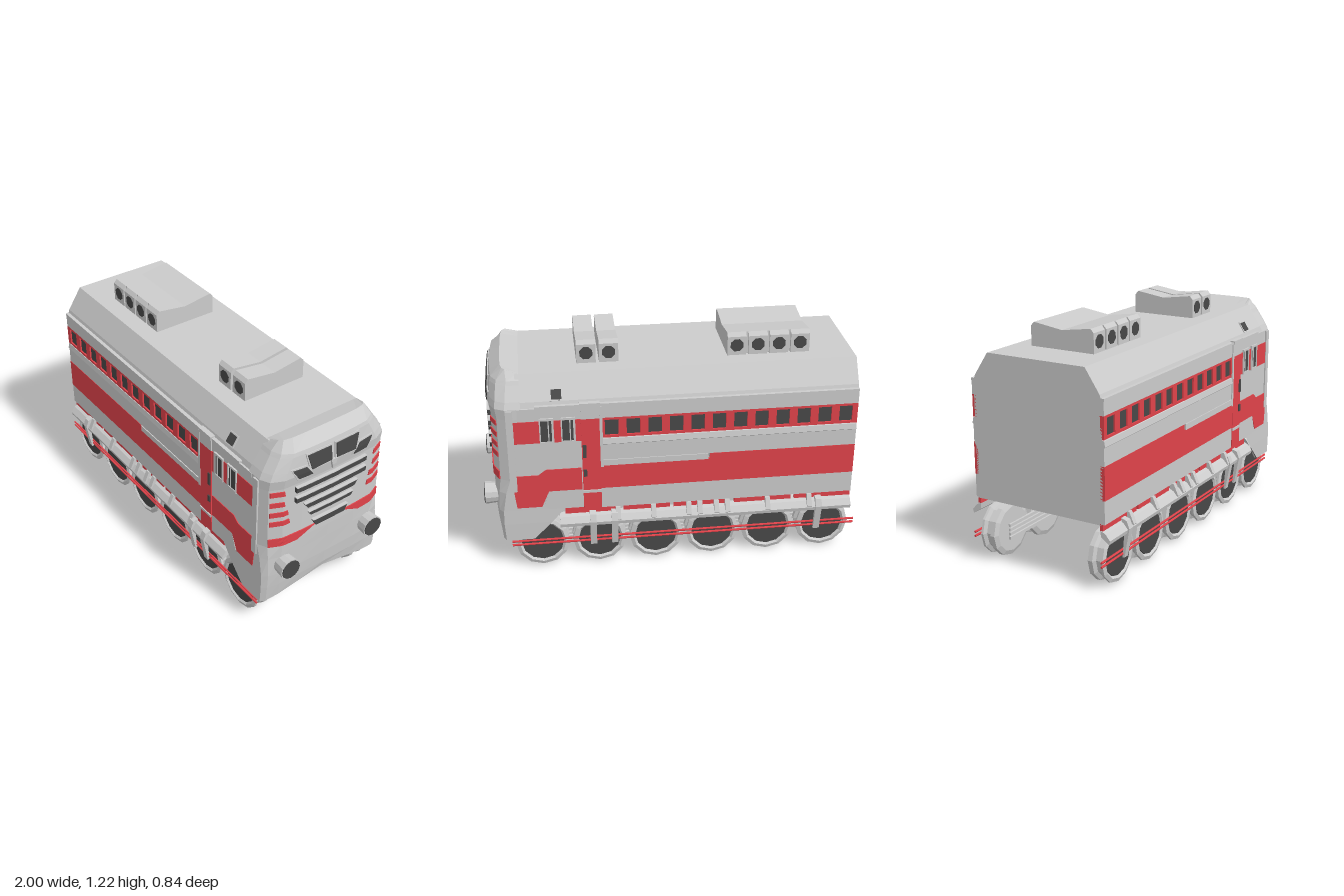
import * as THREE from 'three';

const mat = (color) => new THREE.MeshStandardMaterial({ color, flatShading: true });

export function createModel() {
  const root = new THREE.Group();
  const grey = mat(0xcccccc), red = mat(0xe0434a), dark = mat(0x484848);

  const add = (name, geo, m, x = 0, y = 0, z = 0) => {
    const mesh = new THREE.Mesh(geo, m);
    mesh.name = name;
    mesh.position.set(x, y, z);
    root.add(mesh);
    return mesh;
  };
  const shapeOf = (pts) => new THREE.Shape(pts.map(([a, b]) => new THREE.Vector2(a, b)));
  const rect = (x0, x1, y0, y1) => [[x0, y0], [x1, y0], [x1, y1], [x0, y1]];

  // Plate drawn in x,y and laid on both sides of the body
  const sidePlate = (name, pts, z0, z1, m, holes = []) => {
    const shape = shapeOf(pts);
    holes.forEach((h) => shape.holes.push(shapeOf(h)));
    const geo = new THREE.ExtrudeGeometry(shape, { depth: z1 - z0, bevelEnabled: false });
    add(name, geo, m, 0, 0, z0);
    add(name, geo, m, 0, 0, -z1);
  };
  // Cross-section drawn in z,y and run along x
  const runX = (name, pts, x0, x1, m) => {
    const geo = new THREE.ExtrudeGeometry(shapeOf(pts.map(([z, y]) => [-z, y])), { depth: x1 - x0, bevelEnabled: false });
    add(name, geo.rotateY(Math.PI / 2), m, x0);
  };
  const runBoth = (name, pts, x0, x1, m) => {
    runX(name, pts, x0, x1, m);
    runX(name, pts.map(([z, y]) => [-z, y]), x0, x1, m);
  };
  const symmetric = (half) => [...half, ...half.slice().reverse().map(([z, y]) => [-z, y])];

  // Main body with chamfered roof
  runX('body', symmetric([[0.37, 0.345], [0.37, 0.955], [0.36, 0.985], [0.28, 1.105]]), -0.97, 0.8, grey);

  // Nose: rows of [height, rear x, front x, half width, arch, corner rounding]; the first two close the underside
  const rows = [
    [0.36, 0.6, 0.6, 0.36, 0, 1], [0.18, 0.75, 0.75, 0.375, 0.015, 1],
    [0.18, 0.75, 0.925, 0.383, 0.065, 0.3], [0.28, 0.65, 0.935, 0.383, 0, 0.35], [0.36, 0.58, 0.942, 0.381, 0, 0.45],
    [0.47, 0.58, 0.945, 0.38, 0, 0.7], [0.545, 0.7, 0.947, 0.38, 0, 1],
    [0.9, 0.78, 0.942, 0.38, 0, 1], [0.955, 0.78, 0.95, 0.378, 0, 1], [0.99, 0.78, 0.946, 0.36, 0, 1],
    [1.06, 0.78, 0.938, 0.312, 0, 1], [1.08, 0.78, 0.933, 0.3, 0, 1], [1.13, 0.78, 0.875, 0.262, 0, 0.3],
    [1.106, 0.78, 0.78, 0.28, 0, 1]
  ];
  const curve = [[0, 0], [0.45, 0.003], [0.75, 0.01], [0.93, 0.04], [1, 0.09]]; // width share, setback
  const lerp = THREE.MathUtils.lerp;
  const faceX = (z, y) => {
    let j = 2;
    while (j < rows.length - 3 && rows[j + 1][0] < y) j++;
    const a = rows[j], b = rows[j + 1], t = (y - a[0]) / (b[0] - a[0]);
    const f = Math.min(1, Math.abs(z) / lerp(a[3], b[3], t));
    let k = 0;
    while (k < 3 && curve[k + 1][0] < f) k++;
    const [f0, s0] = curve[k], [f1, s1] = curve[k + 1];
    return lerp(a[2], b[2], t) - lerp(s0, s1, (f - f0) / (f1 - f0));
  };
  const pos = [], index = [], n = 11;
  rows.forEach(([y, xb, xc, w, arch, round]) => {
    for (let i = 0; i < n; i++) {
      const side = i < 5 ? 1 : -1;
      const edge = i === 0 || i === n - 1;
      const [f, s] = edge ? [1, 9] : curve[Math.abs(5 - i)];
      pos.push(Math.max(xb, xc - s * round), edge ? Math.min(y, 1.106) : y + arch * (1 - f), side * f * w);
    }
  });
  for (let j = 0; j < rows.length - 1; j++) {
    for (let i = 0; i < n - 1; i++) {
      const a = j * n + i, b = a + 1, c = b + n, d = a + n;
      index.push(a, b, c, a, c, d);
    }
  }
  const nose = new THREE.BufferGeometry();
  nose.setAttribute('position', new THREE.Float32BufferAttribute(pos, 3));
  nose.setIndex(index);
  nose.computeVertexNormals();
  add('nose', nose, grey);

  // Slab following the nose; corners top left, top right, bottom right, bottom left in z,y
  const facePatch = (name, [tl, tr, br, bl], out, m) => {
    const geo = new THREE.BoxGeometry(1, 1, 1, 1, 2, 10), p = geo.attributes.position;
    for (let i = 0; i < p.count; i++) {
      const t = p.getZ(i) + 0.5, v = p.getY(i) + 0.5;
      const z = lerp(lerp(br[0], bl[0], t), lerp(tr[0], tl[0], t), v);
      const y = lerp(lerp(br[1], bl[1], t), lerp(tr[1], tl[1], t), v);
      p.setXYZ(i, faceX(z, y) + (p.getX(i) > 0 ? out : -0.03), y, z);
    }
    geo.computeVertexNormals();
    add(name, geo, m);
  };
  const facePair = (name, q, out, m) => {
    facePatch(name, q, out, m);
    facePatch(name, [q[1], q[0], q[3], q[2]].map(([z, y]) => [-z, y]), out, m);
  };
  // Windscreens with frames
  const grow = (q, d) => {
    const cz = q.reduce((s, c) => s + c[0] / 4, 0), cy = q.reduce((s, c) => s + c[1] / 4, 0);
    return q.map(([z, y]) => [z + d * Math.sign(z - cz), y + d * Math.sign(y - cy)]);
  };
  const panes = [
    [[0.158, 1.05], [0.016, 1.05], [0.016, 0.972], [0.135, 0.966]],
    [[0.245, 0.995], [0.165, 0.99], [0.128, 0.938], [0.21, 0.94]]
  ];
  panes.forEach((q) => {
    facePair('windscreenFrame', grow(q, 0.008), 0.006, grey);
    facePair('windscreen', q, 0.011, dark);
  });
  facePatch('windscreenPillar', [[0.02, 0.97], [-0.02, 0.97], [-0.003, 0.91], [0.003, 0.91]], 0.012, grey);
  // Front grilles: middle height, half height, upper and lower half width
  [[0.87, 0.014, 0.22, 0.22], [0.807, 0.014, 0.22, 0.22], [0.747, 0.014, 0.168, 0.148],
    [0.69, 0.011, 0.142, 0.128], [0.615, 0.018, 0.112, 0.092]].forEach(([y, h, a, b]) => {
    facePatch('grille', [[a, y + h], [-a, y + h], [-b, y - h], [b, y - h]], 0.016, dark);
    facePatch('grilleLip', [[a, y + h + 0.004], [-a, y + h + 0.004], [-a, y + h], [a, y + h]], 0.018, grey);
  });
  // Red corner stripes and lower band
  [[0.872, 0.276], [0.808, 0.276], [0.747, 0.255], [0.69, 0.245]].forEach(([y, z]) => {
    facePair('cornerStripe', [[0.348, y + 0.014], [z + 0.006, y + 0.014], [z, y - 0.014], [0.348, y - 0.014]], 0.005, red);
  });
  facePair('frontBand', [[0.353, 0.595], [0.09, 0.595], [0.2, 0.546], [0.353, 0.546]], 0.006, red);

  // Headlights
  for (const s of [1, -1]) {
    add('headlight', new THREE.CylinderGeometry(0.06, 0.05, 0.12, 12).rotateZ(-Math.PI / 2), grey, 0.935, 0.42, s * 0.27);
    add('headlightLens', new THREE.CylinderGeometry(0.054, 0.054, 0.01, 12).rotateZ(-Math.PI / 2), dark, 0.995, 0.42, s * 0.27);
  }

  // Carriage side: window band, mouldings, stripes
  const windows = Array.from({ length: 12 }, (_, i) => -0.907 + i * 0.1118)
    .map((x) => rect(x - 0.035, x + 0.035, 0.783, 0.872));
  sidePlate('windowBand', rect(-0.97, 0.37, 0.77, 0.885), 0.36, 0.382, red, windows);
  sidePlate('windowPanes', rect(-0.96, 0.36, 0.778, 0.878), 0.36, 0.373, dark);
  sidePlate('upperPanel', rect(-0.97, 0.37, 0.885, 0.955), 0.36, 0.382, grey);
  runBoth('moulding', [[0.36, 0.77], [0.382, 0.765], [0.388, 0.735], [0.382, 0.73], [0.382, 0.64], [0.36, 0.6]], -0.97, 0.375, grey);
  sidePlate('lowerBand', [[-0.97, 0.47], [0.385, 0.47], [0.385, 0.61], [-0.19, 0.61], [-0.19, 0.64], [-0.97, 0.64]], 0.36, 0.384, red);
  sidePlate('lowerRail', rect(-0.18, 0.38, 0.607, 0.64), 0.36, 0.387, grey);
  sidePlate('lowerPanel', rect(-0.97, 0.385, 0.35, 0.47), 0.36, 0.382, grey);
  [[-0.97, -0.66], [-0.64, -0.33], [-0.3, 0], [0.02, 0.27], [0.29, 0.58]].forEach(([a, b]) =>
    sidePlate('skirt', rect(a, b, 0.318, 0.352), 0.355, 0.372, red));
  sidePlate('gutter', rect(-0.97, 0.71, 0.955, 0.968), 0.355, 0.385, grey);

  // Door with handles and step
  sidePlate('door', rect(0.385, 0.48, 0.355, 0.885), 0.36, 0.386, red);
  sidePlate('doorTop', rect(0.385, 0.48, 0.885, 0.955), 0.36, 0.386, grey);
  sidePlate('doorLintel', rect(0.38, 0.485, 0.953, 0.975), 0.36, 0.391, grey);
  sidePlate('doorStep', rect(0.385, 0.48, 0.45, 0.465), 0.36, 0.391, grey);
  sidePlate('doorPost', rect(0.37, 0.385, 0.6, 0.955), 0.36, 0.388, grey);
  for (const [y, h] of [[0.7, 0.037], [0.57, 0.02]]) {
    sidePlate('doorHandle', rect(0.457, 0.475, y - h, y + h), 0.37, 0.392, dark);
  }

  // Cab sides
  sidePlate('cabPanel', rect(0.48, 0.8, 0.36, 0.955), 0.35, 0.38, grey);
  sidePlate('cabStripe', rect(0.48, 0.855, 0.76, 0.885), 0.35, 0.383, red);
  sidePlate('cabLowerStripe', [[0.485, 0.47], [0.66, 0.47], [0.7, 0.378], [0.83, 0.378], [0.85, 0.57], [0.71, 0.57], [0.67, 0.6], [0.485, 0.6]],
    0.35, 0.384, red);
  sidePlate('cabLowerPanel', [[0.485, 0.36], [0.66, 0.36], [0.69, 0.378], [0.66, 0.47], [0.485, 0.47]], 0.35, 0.384, grey);
  sidePlate('cornerPost', rect(0.822, 0.858, 0.48, 0.95), 0.34, 0.387, grey);
  for (const x of [0.545, 0.655]) {
    sidePlate('cabWindowFrame', rect(x - 0.037, x + 0.037, 0.755, 0.9), 0.35, 0.389, grey, [rect(x - 0.026, x + 0.03, 0.768, 0.888)]);
    sidePlate('cabWindow', rect(x - 0.03, x + 0.033, 0.765, 0.89), 0.35, 0.385, dark);
    sidePlate('cabWindowBar', rect(x - 0.013, x - 0.007, 0.765, 0.89), 0.35, 0.388, grey);
  }

  // Roof side lamps
  for (const s of [1, -1]) {
    add('roofLamp', new THREE.BoxGeometry(0.066, 0.066, 0.02), grey, 0.597, 1.01, s * 0.338).rotation.x = -s * 0.588;
    add('roofLampPane', new THREE.BoxGeometry(0.052, 0.052, 0.024), dark, 0.597, 1.01, s * 0.338).rotation.x = -s * 0.588;
  }

  // Roof vents: one joined block of four, and a separate pair
  const ventHalf = [[0.183, 1.095], [0.183, 1.207], [0.165, 1.227], [0, 1.203]];
  runX('ventCore', symmetric([[0.165, 1.095], [0.165, 1.227], [0, 1.203]]), -0.735, -0.305, grey);
  for (const x of [-0.69, -0.578, -0.466, -0.354, 0.315, 0.432]) {
    runX('roofVent', symmetric(ventHalf), x - 0.05, x + 0.05, grey);
    for (const s of [1, -1]) {
      add('ventOpening', new THREE.CylinderGeometry(0.036, 0.036, 0.006, 8).rotateY(Math.PI / 8).rotateX(Math.PI / 2), dark, x, 1.16, s * 0.182);
    }
  }

  // Wheels
  const wheelProfile = [[0, -0.05], [0.12, -0.05], [0.145, -0.04], [0.145, -0.015], [0.125, -0.005], [0.125, 0.02],
    [0.145, 0.03], [0.145, 0.043], [0.125, 0.05], [0.112, 0.035], [0, 0.035]];
  const wheel = new THREE.LatheGeometry(wheelProfile.map(([r, y]) => new THREE.Vector2(r, y)), 12).rotateX(Math.PI / 2);
  const disc = new THREE.CylinderGeometry(0.113, 0.113, 0.008, 12).rotateX(Math.PI / 2);
  for (let i = 0; i < 6; i++) {
    const x = -0.825 + i * 0.3065;
    for (const s of [1, -1]) {
      add('wheel', wheel, grey, x, 0.148, s * 0.322).rotation.y = s > 0 ? 0 : Math.PI;
      add('wheelDisc', disc, dark, x, 0.148, s * 0.36);
    }
  }

  // Running boards, brackets, pipes and inner bars
  runBoth('runningBoard', [[0.355, 0.32], [0.385, 0.305], [0.41, 0.275], [0.405, 0.255], [0.36, 0.285]], -0.97, 0.61, grey);
  for (const x of [-0.79, 0.32, 0.435]) {
    runBoth('bracket', [[0.37, 0.33], [0.402, 0.32], [0.418, 0.28], [0.39, 0.125], [0.378, 0.125], [0.39, 0.26]], x - 0.017, x + 0.017, grey);
  }
  for (const x of [-0.74, -0.51, -0.29, -0.23, -0.14, -0.08, 0.11, 0.3]) {
    runBoth('clip', [[0.36, 0.345], [0.385, 0.345], [0.412, 0.285], [0.4, 0.27], [0.36, 0.29]], x - 0.013, x + 0.013, grey);
  }
  for (const s of [1, -1]) {
    for (const y of [0.145, 0.167]) {
      add('pipe', new THREE.CylinderGeometry(0.006, 0.006, 1.87, 6).rotateZ(Math.PI / 2), red, -0.065, y, s * 0.379);
    }
    for (let i = 0; i < 4; i++) {
      add('innerBar', new THREE.BoxGeometry(1.53, 0.016, 0.014), grey, -0.095, 0.105 + i * 0.023, s * 0.268);
    }
  }
  return root;
}
